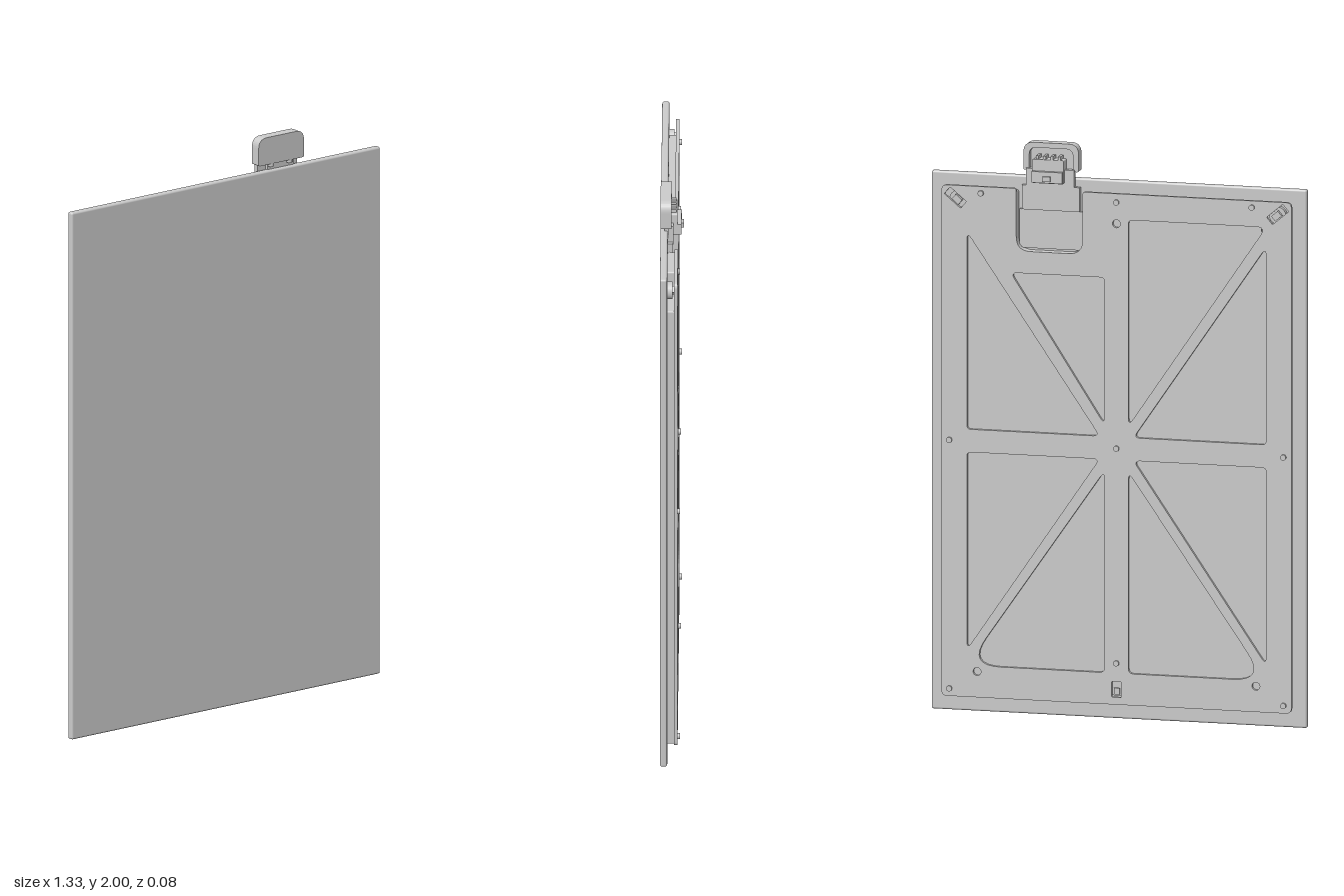
import * as THREE from 'three';
import { RoundedBoxGeometry } from 'three/addons/geometries/RoundedBoxGeometry.js';

const material = new THREE.MeshStandardMaterial({ color: 0xcccccc });
const BACK = -0.02, FLOOR = -0.008, JOIN = 0.015, FRONT = 0.04, MID = 0.95;

// Closed outline from [x, y, cornerCut] points with rounded corners
function outline(points, cut = 0.02, Type = THREE.Shape) {
  const path = new Type();
  const n = points.length;
  points.forEach((p, i) => {
    const c = new THREE.Vector2(p[0], p[1]);
    const prev = points[(i + n - 1) % n], next = points[(i + 1) % n];
    const d = p[2] ?? cut;
    const toward = (q) => new THREE.Vector2(q[0], q[1]).sub(c).setLength(d).add(c);
    const a = toward(prev), b = toward(next);
    if (i === 0) path.moveTo(a.x, a.y); else path.lineTo(a.x, a.y);
    if (d > 0) path.quadraticCurveTo(c.x, c.y, b.x, b.y);
  });
  path.closePath();
  return path;
}

function circle(x, y, r) {
  const path = new THREE.Path();
  path.absarc(x, y, r, 0, Math.PI * 2);
  return path;
}

// Rotated slot outline
function slot(x, y, length, width, angle) {
  const c = Math.cos(angle), s = Math.sin(angle);
  return outline([[-1, -1], [1, -1], [1, 1], [-1, 1]].map(([u, v]) => {
    const a = u * length / 2, b = v * width / 2;
    return [x + a * c - b * s, y + a * s + b * c];
  }), 0.004, THREE.Path);
}

export function createModel() {
  const group = new THREE.Group();

  function add(name, geometry, parent = group) {
    const mesh = new THREE.Mesh(geometry, material);
    mesh.name = name;
    parent.add(mesh);
    return mesh;
  }
  function slab(name, shape, z0, z1, parent) {
    const geometry = new THREE.ExtrudeGeometry(shape, { depth: z1 - z0, bevelEnabled: false, curveSegments: 8 });
    return add(name, geometry.translate(0, 0, z0), parent);
  }
  function box(name, x0, x1, y0, y1, z0, z1, parent) {
    const geometry = new THREE.BoxGeometry(x1 - x0, y1 - y0, z1 - z0);
    return add(name, geometry.translate((x0 + x1) / 2, (y0 + y1) / 2, (z0 + z1) / 2), parent);
  }

  // Front panel with softened edges
  add('frontPanel', new RoundedBoxGeometry(1.33, 1.88, FRONT - JOIN, 3, 0.007))
    .position.set(0, 0.94, (FRONT + JOIN) / 2);

  // Back sheet: notch for the connector, triangular pockets and slots
  const notch = [[0.355, 1.84, 0.01], [0.355, 1.622, 0.05], [0.12, 1.622, 0.05], [0.12, 1.84, 0.01]];
  const sheet = outline([[-0.62, 0.055], [0.62, 0.055], [0.62, 1.84], ...notch, [-0.62, 1.84]]);
  for (const s of [-1, 1]) {
    for (const v of [-1, 1]) {
      sheet.holes.push(outline([
        [s * 0.53, MID + v * 0.04], [s * 0.06, MID + v * 0.04, 0.025], [s * 0.53, MID + v * 0.73, 0.03],
      ], 0.015, THREE.Path));
    }
    sheet.holes.push(outline([
      [s * 0.042, MID - 0.08, 0.03], [s * 0.042, 0.165, 0.02], [s * 0.53, 0.165, 0.12],
    ], 0.02, THREE.Path));
    sheet.holes.push(slot(s * 0.571, 1.797, 0.075, 0.032, s * 0.7));
    sheet.holes.push(circle(s * 0.494, 0.145, 0.014));
  }
  sheet.holes.push(outline([[0.042, 1.545], [0.375, 1.545, 0.025], [0.042, MID + 0.08, 0.03]], 0.015, THREE.Path));
  sheet.holes.push(outline([[-0.042, 1.75], [-0.53, 1.75, 0.035], [-0.042, MID + 0.08, 0.03]], 0.015, THREE.Path));
  sheet.holes.push(circle(0, 1.735, 0.014));
  sheet.holes.push(slot(0, 0.108, 0.055, 0.034, Math.PI / 2));
  slab('backSheet', sheet, BACK, FLOOR);

  // Core between sheet and panel, relieved at the top corners and bottom middle
  slab('core', outline([
    [-0.61, 0.06], [-0.08, 0.06], [-0.08, 0.085], [0.08, 0.085], [0.08, 0.06], [0.61, 0.06],
    [0.61, 1.73], [0.51, 1.73], [0.51, 1.83], ...notch.map(([x, y, c]) => [x, Math.min(y, 1.83), c]),
    [-0.51, 1.83], [-0.51, 1.73], [-0.61, 1.73],
  ], 0.006), FLOOR, JOIN);

  // Corner latches seen through the slots
  for (const s of [-1, 1]) {
    const latch = new THREE.Group();
    latch.name = 'cornerLatch';
    add('latchPost', new THREE.CylinderGeometry(0.03, 0.03, 0.018, 20).rotateX(Math.PI / 2), latch)
      .position.z = 0.006;
    add('latchTab', new THREE.BoxGeometry(0.03, 0.022, 0.014), latch).position.z = -0.01;
    latch.position.set(s * 0.566, 1.79, 0);
    latch.rotation.z = s * 0.7;
    group.add(latch);
  }
  box('bottomTab', -0.01, 0.01, 0.09, 0.112, FLOOR - 0.007, FLOOR);

  // Raised screw heads on the back
  const screws = [[0, MID], [0, 1.81], [0, 0.2]];
  for (const s of [-1, 1]) screws.push([s * 0.48, 1.817], [s * 0.592, MID], [s * 0.592, 0.082]);
  for (const [x, y] of screws) {
    add('screwHead', new THREE.CylinderGeometry(0.01, 0.01, 0.012, 16).rotateX(Math.PI / 2))
      .position.set(x, y, BACK - 0.002);
  }

  // Connector recess floor and ribbon
  box('recessFloor', 0.125, 0.35, 1.63, 1.765, 0.004, JOIN);
  box('ribbon', 0.135, 0.34, 1.765, 1.85, -0.002, JOIN);

  // Connector: rounded shell open to the back
  const connector = new THREE.Group();
  connector.name = 'connector';
  group.add(connector);
  box('neck', 0.155, 0.325, 1.84, 1.91, -0.004, JOIN, connector);
  const tray = [[0.14, 1.903, 0.006], [0.335, 1.903, 0.006], [0.335, 2, 0.035], [0.14, 2, 0.035]];
  slab('shellFace', outline(tray), 0.024, FRONT, connector);
  slab('shellRim', outline([
    ...tray.slice(1), tray[0], [0.16, 1.903, 0], [0.16, 1.982, 0.025], [0.315, 1.982, 0.025], [0.315, 1.903, 0],
  ]), 0.002, 0.024, connector);

  // Plug block with contact ribs, lower lip and latch nub
  slab('plugBlock', outline([[0.188, 1.862], [0.3, 1.862], [0.3, 1.945], [0.188, 1.945]], 0.006),
    -0.018, 0.026, connector);
  box('plugLip', 0.19, 0.298, 1.866, 1.905, -0.032, -0.016, connector);
  box('latchNub', 0.23, 0.258, 1.872, 1.89, -0.04, -0.03, connector);
  for (let i = 0; i < 4; i++) {
    const x = 0.2 + i * 0.026;
    box('contactRib', x, x + 0.009, 1.94, 1.957, -0.014, 0.026, connector);
  }
  // Small pins under the shell face
  for (const x of [0.2, 0.28]) {
    add('pin', new THREE.CylinderGeometry(0.01, 0.01, 0.014, 12), connector).position.set(x, 1.899, 0.03);
  }
  return group;
}
